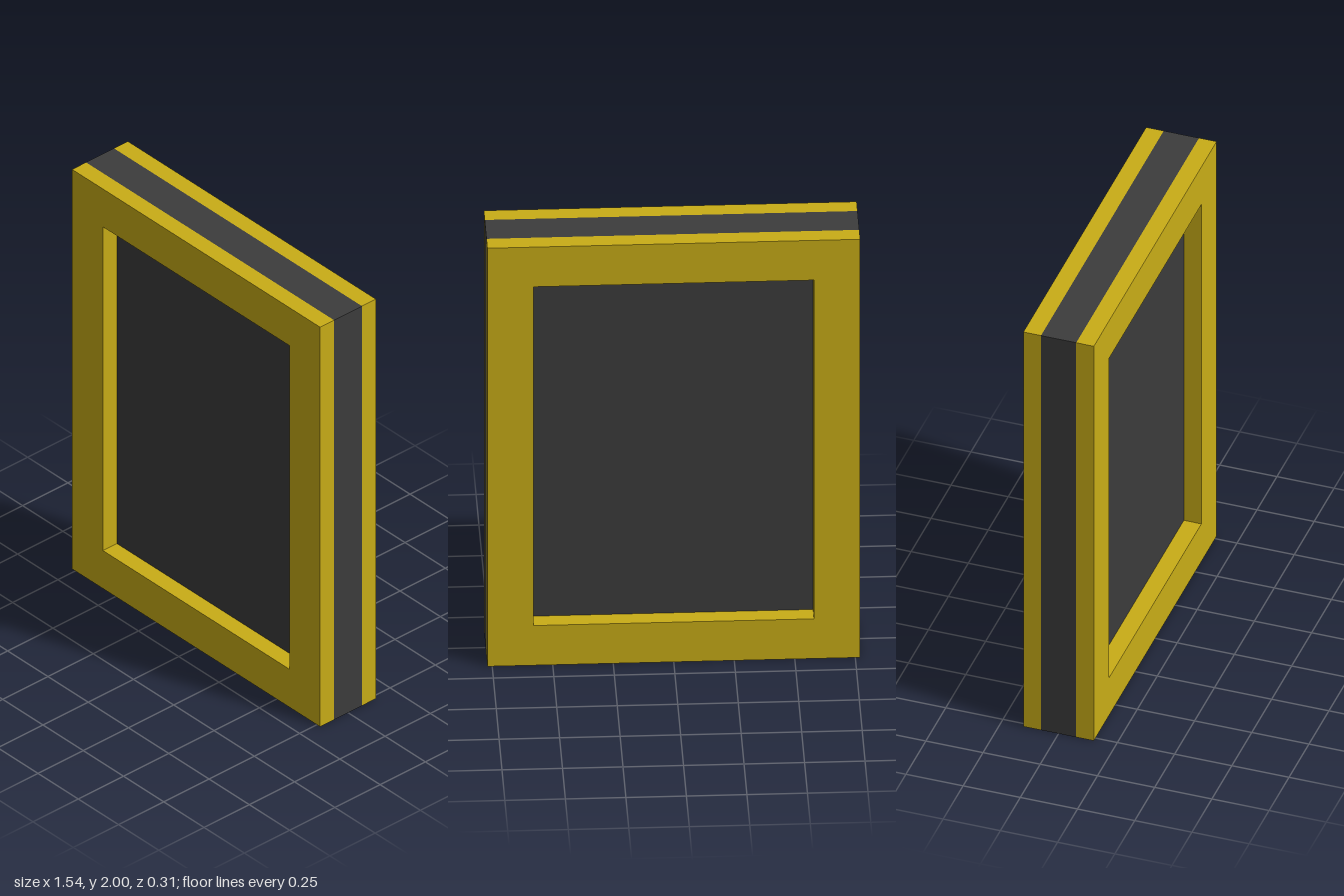
import * as THREE from 'three';

const WIDTH = 1.54, HEIGHT = 2, CORE = 0.154, FRAME = 0.077;
const OPEN_W = 1.158, OPEN_H = 1.62;

// Rectangle outline centred on the origin
function rectangle(PathType, w, h) {
  const p = new PathType();
  p.moveTo(-w / 2, -h / 2);
  p.lineTo(w / 2, -h / 2);
  p.lineTo(w / 2, h / 2);
  p.lineTo(-w / 2, h / 2);
  p.closePath();
  return p;
}

export function createModel() {
  const group = new THREE.Group();
  group.name = 'framedPanel';
  const yellow = new THREE.MeshStandardMaterial({ color: 0xc9ad17 });
  const dark = new THREE.MeshStandardMaterial({ color: 0x3c3c3c });

  // Dark core panel, exposed at the outer edges
  const panel = new THREE.Mesh(new THREE.BoxGeometry(WIDTH, HEIGHT, CORE), dark);
  panel.name = 'panel';
  panel.position.y = HEIGHT / 2;
  group.add(panel);

  // Matching frames on the front and back of the panel
  const outline = rectangle(THREE.Shape, WIDTH, HEIGHT);
  outline.holes.push(rectangle(THREE.Path, OPEN_W, OPEN_H));
  const frameGeometry = new THREE.ExtrudeGeometry(outline, { depth: FRAME, bevelEnabled: false });
  for (const [name, z] of [['frontFrame', CORE / 2], ['backFrame', -CORE / 2 - FRAME]]) {
    const frame = new THREE.Mesh(frameGeometry, yellow);
    frame.name = name;
    frame.position.set(0, HEIGHT / 2, z);
    group.add(frame);
  }
  return group;
}
